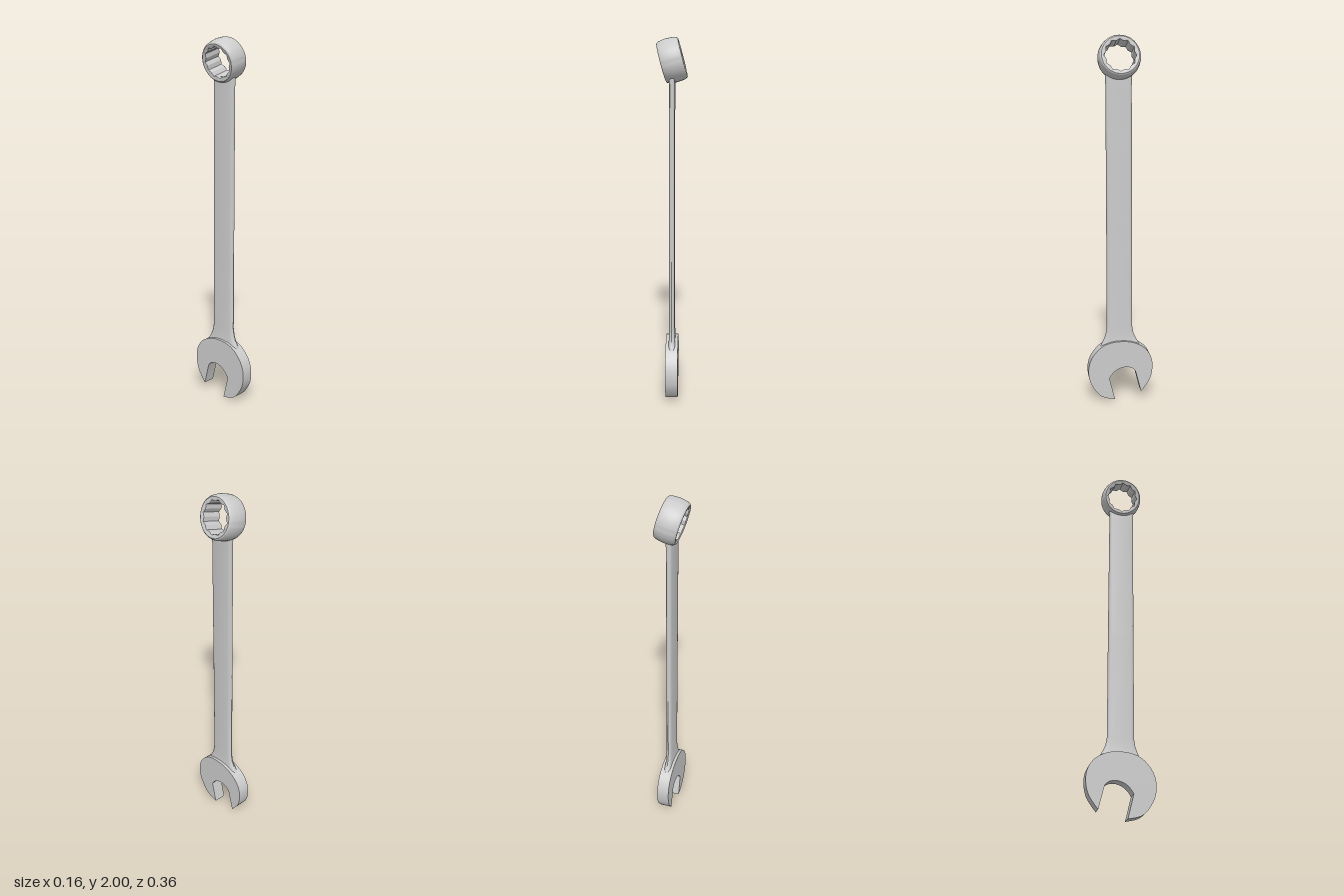
import * as THREE from 'three';
import { toCreasedNormals } from 'three/addons/utils/BufferGeometryUtils.js';

const material = new THREE.MeshStandardMaterial({ color: 0xcccccc });

function addPart(group, name, geometry, crease = 0.6) {
  const mesh = new THREE.Mesh(toCreasedNormals(geometry, crease), material);
  mesh.name = name;
  group.add(mesh);
  return mesh;
}

// Open jaw: an outline in the z-y plane, extruded across x
function jawGeometry() {
  const outline = [
    [0.032, 0.002], [0.111, 0.026], [0.166, 0.1], [0.18, 0.175], [0.164, 0.243],
    [0.118, 0.302], [0.065, 0.331], [0, 0.34], [-0.07, 0.332], [-0.135, 0.298],
    [-0.172, 0.243], [-0.18, 0.18], [-0.164, 0.111], [-0.116, 0.042],
  ].map(([z, y]) => new THREE.Vector2(z, y));
  const shape = new THREE.Shape();
  shape.moveTo(outline[0].x, outline[0].y);
  shape.splineThru(outline.slice(1));
  // Slanted mouth with a rounded throat
  shape.lineTo(-0.085, 0.16);
  shape.bezierCurveTo(-0.065, 0.205, 0.025, 0.205, 0.063, 0.127);
  shape.closePath();
  const thickness = 0.068;
  const geometry = new THREE.ExtrudeGeometry(shape, {
    depth: thickness, bevelEnabled: false, curveSegments: 48,
  });
  return geometry.translate(0, 0, -thickness / 2).rotateY(-Math.PI / 2);
}

// Shank: cross-sections with rounded long edges, lofted upwards
function shankGeometry() {
  // y, back edge z, front edge z, half thickness, edge rounding
  const stations = [
    [0.25, -0.135, 0.13, 0.022, 0.03],
    [0.3, -0.121, 0.117, 0.021, 0.03],
    [0.325, -0.104, 0.102, 0.019, 0.028],
    [0.35, -0.089, 0.09, 0.017, 0.026],
    [0.38, -0.076, 0.08, 0.016, 0.024],
    [0.42, -0.069, 0.074, 0.015, 0.022],
    [1.0, -0.067, 0.075, 0.015, 0.02],
    [1.74, -0.063, 0.077, 0.015, 0.016],
    [1.8, -0.065, 0.08, 0.015, 0.016],
  ];
  const steps = 6;
  const count = 2 * (steps + 1);
  const positions = [];
  const index = [];
  for (const [y, back, front, half, round] of stations) {
    for (const side of [1, -1]) {
      for (let i = 0; i <= steps; i++) {
        const a = Math.PI * (i / steps - 0.5);
        const edge = side > 0 ? front - round : back + round;
        positions.push(-side * half * Math.sin(a), y, edge + side * round * Math.cos(a));
      }
    }
  }
  for (let s = 0; s < stations.length - 1; s++) {
    for (let i = 0; i < count; i++) {
      const a = s * count + i;
      const b = s * count + (i + 1) % count;
      index.push(a, a + count, b, b, a + count, b + count);
    }
  }
  // End caps
  const last = (stations.length - 1) * count;
  for (let i = 1; i < count - 1; i++) {
    index.push(0, i, i + 1, last, last + i + 1, last + i);
  }
  const geometry = new THREE.BufferGeometry();
  geometry.setAttribute('position', new THREE.Float32BufferAttribute(positions, 3));
  geometry.setIndex(index);
  return geometry;
}

// Box ring: a turned barrel whose bore is pulled into twelve points
function ringGeometry() {
  const bore = 0.086;
  const profile = [
    [bore, -0.053], [0.091, -0.057], [0.099, -0.057], [0.105, -0.052], [0.109, -0.043],
    [0.112, -0.025], [0.114, 0], [0.112, 0.025], [0.109, 0.043], [0.105, 0.052],
    [0.099, 0.057], [0.091, 0.057], [bore, 0.053], [bore, -0.053],
  ].map(([r, h]) => new THREE.Vector2(r, h));
  const segments = 72;
  const geometry = new THREE.LatheGeometry(profile, segments);
  const p = geometry.attributes.position;
  const half = Math.PI / 12;
  const valley = 0.077;
  for (let i = 0; i < p.count; i++) {
    const x = p.getX(i), z = p.getZ(i);
    if (Math.hypot(x, z) > bore + 0.001) continue;
    // Straight line between a point and the next valley of the star
    const angle = Math.atan2(z, x);
    const t = Math.abs(angle - 2 * half * Math.round(angle / (2 * half)));
    const r = bore * valley * Math.sin(half)
      / (bore * Math.sin(t) + valley * Math.sin(half - t));
    p.setX(i, r * Math.cos(angle));
    p.setZ(i, r * Math.sin(angle));
  }
  return geometry;
}

export function createModel() {
  const group = new THREE.Group();
  group.name = 'combinationWrench';
  addPart(group, 'openJaw', jawGeometry());
  addPart(group, 'shank', shankGeometry(), 0.7);
  const ring = addPart(group, 'boxRing', ringGeometry(), 0.45);
  // The ring leans 15 degrees out of the plane of the shank
  ring.rotation.z = -THREE.MathUtils.degToRad(75);
  ring.position.set(0, 1.886, 0.004);
  return group;
}
